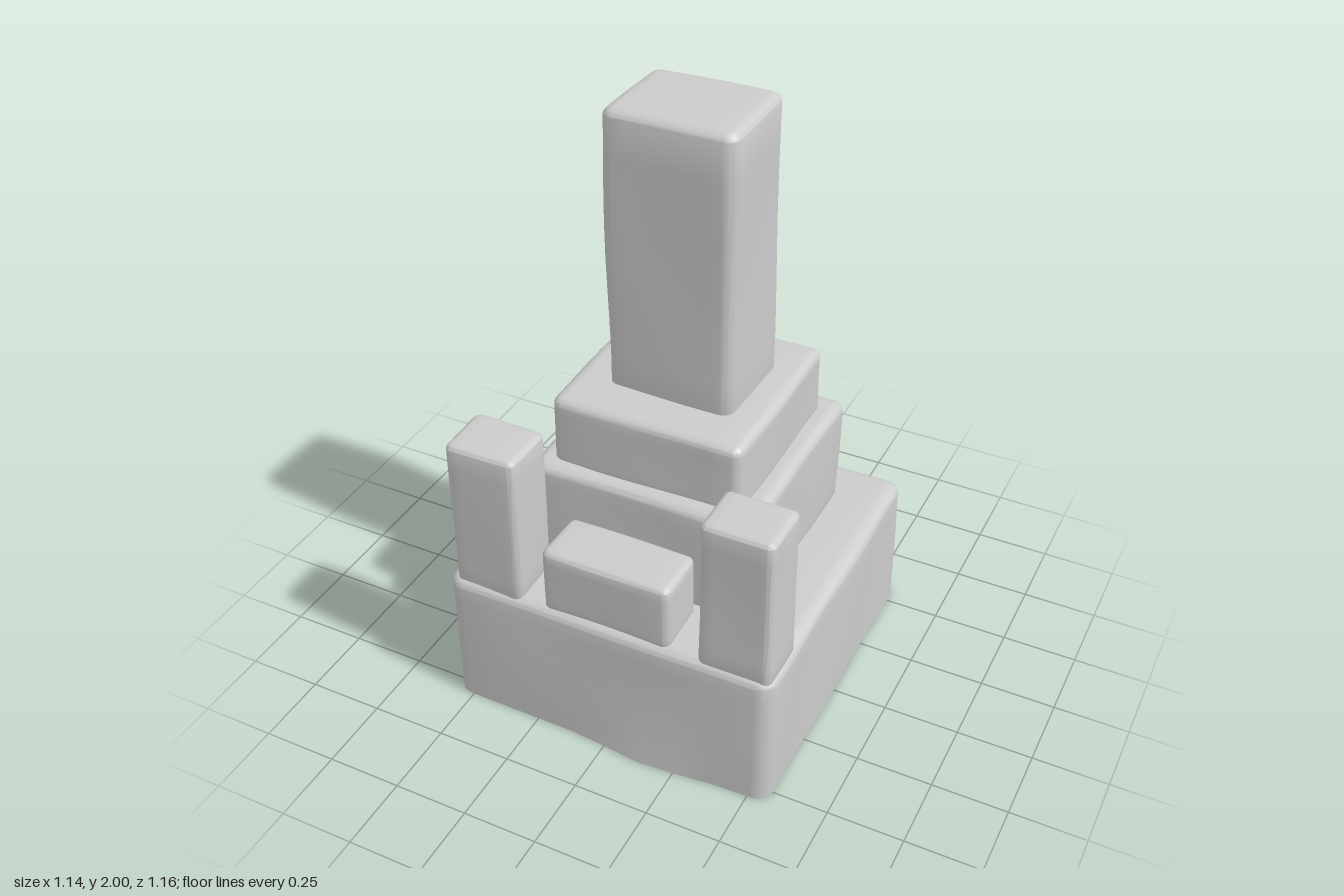
import * as THREE from 'three';
import { mergeVertices, toCreasedNormals } from 'three/addons/utils/BufferGeometryUtils.js';

const N = 16; // grid cells per side
const EDGE = 4; // cells spent on each rounded edge

// Grid step -> coordinate, with the outer cells packed into the rounded edge
function place(t, half, r) {
  const i = Math.round((t + 1) / 2 * N);
  const k = Math.min(i, N - i);
  const sign = i < N / 2 ? -1 : 1;
  if (k < EDGE) return sign * (half - r + r * Math.tan((1 - k / EDGE) * Math.PI / 4));
  return (i - N / 2) / (N / 2 - EDGE) * (half - r);
}

// Worn stone block given by its bounds; r rounds the plan corners, ry the top edge.
// The lower rounding is sunk below y0, so blocks seat firmly on one another.
function stone(name, [x0, x1], [y0, y1], [z0, z1], r, ry, seed, shape) {
  const low = y0 - ry;
  const half = [(x1 - x0) / 2, (y1 - low) / 2, (z1 - z0) / 2];
  const mid = [(x0 + x1) / 2, (y1 + low) / 2, (z0 + z1) / 2];
  const radius = [r, ry, r];
  let geo = new THREE.BoxGeometry(2, 2, 2, N, N, N);
  geo.deleteAttribute('uv');
  geo.deleteAttribute('normal');
  geo = mergeVertices(geo, 1e-4);
  const pos = geo.attributes.position;
  const v = new THREE.Vector3();
  for (let n = 0; n < pos.count; n++) {
    const p = [0, 1, 2].map((a) => place(pos.getComponent(n, a), half[a], radius[a]));
    const core = p.map((c, a) => THREE.MathUtils.clamp(c, radius[a] - half[a], half[a] - radius[a]));
    const d = new THREE.Vector3(...p.map((c, a) => (c - core[a]) / radius[a])).normalize();
    v.set(...core.map((c, a) => c + d.getComponent(a) * radius[a] + mid[a]));
    // gentle hand-hewn unevenness
    const w = 0.004 * Math.sin(v.x * 9 + seed) * Math.cos(v.y * 7 + seed * 2) + 0.003 * Math.sin(v.z * 11 + v.y * 5 + seed);
    v.x += d.x * w;
    v.y += d.y * w * 0.5;
    v.z += d.z * w;
    if (shape) shape(v);
    pos.setXYZ(n, v.x, v.y, v.z);
  }
  const mesh = new THREE.Mesh(
    toCreasedNormals(geo, 0.7),
    new THREE.MeshStandardMaterial({ color: 0xcccccc, roughness: 0.9 })
  );
  mesh.name = name;
  return mesh;
}

// Flat underside, and a foot that swells out along the lower front
function shapeBase(v) {
  v.y = Math.max(0, v.y);
  if (v.z > 0.4) {
    const foot = Math.max(0, 1 - v.y / 0.35) ** 1.5;
    v.z += 0.03 * foot * Math.exp(-(((v.x - 0.14) / 0.17) ** 2));
  }
}

export function createModel() {
  const group = new THREE.Group();
  group.name = 'steppedStoneMonument';
  group.add(
    stone('base', [-0.565, 0.565], [0, 0.49], [-0.575, 0.547], 0.055, 0.035, 1, shapeBase),
    stone('lowerStep', [-0.372, 0.38], [0.48, 0.85], [-0.437, 0.315], 0.035, 0.03, 2),
    stone('upperStep', [-0.325, 0.322], [0.84, 1.077], [-0.384, 0.262], 0.04, 0.03, 3),
    stone('column', [-0.208, 0.218], [1.065, 2], [-0.236, 0.111], 0.04, 0.027, 4),
    stone('offeringBlock', [-0.22, 0.215], [0.48, 0.703], [0.328, 0.524], 0.025, 0.02, 5),
    stone('rightPillar', [-0.539, -0.298], [0.475, 1.004], [0.335, 0.53], 0.025, 0.02, 6),
    stone('leftPillar', [0.312, 0.552], [0.475, 1.004], [0.335, 0.53], 0.025, 0.02, 7)
  );
  return group;
}
